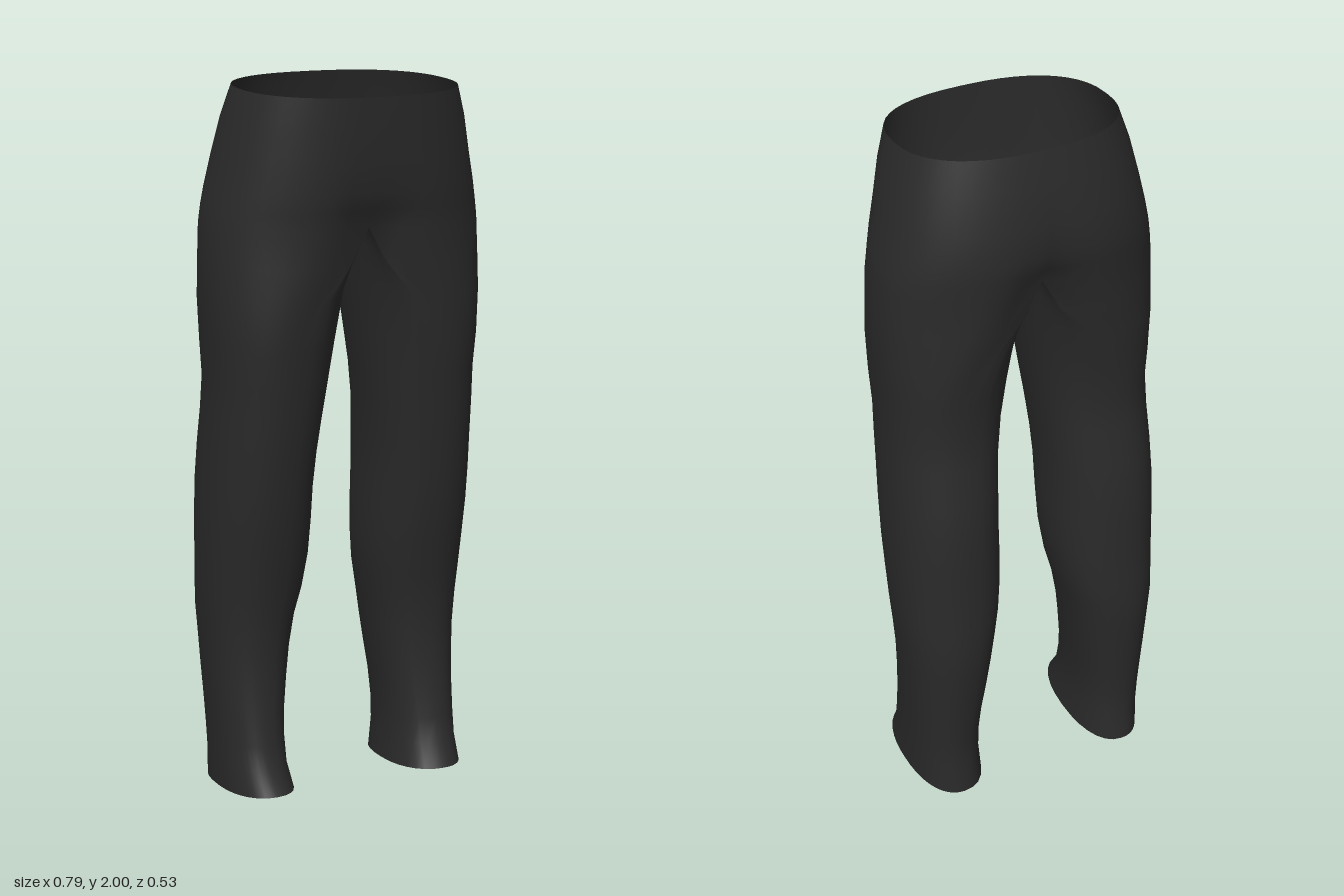
import * as THREE from 'three';
import { mergeGeometries, mergeVertices } from 'three/addons/utils/BufferGeometryUtils.js';

// Hip levels from the waist down: y, half width, front z, back z, centre crease
const HIPS = [
  [1.985, 0.305, 0.265, -0.2, 0],
  [1.9, 0.332, 0.26, -0.225, 0],
  [1.8, 0.354, 0.255, -0.25, 0.02],
  [1.72, 0.372, 0.25, -0.258, 0.06],
  [1.67, 0.382, 0.243, -0.257, 0.12],
  [1.62, 0.39, 0.237, -0.252, 0.22],
];

// Leg levels from the crotch down: y, inner x, outer x, front z, back z
const LEG = [
  [1.62, 0, 0.39, 0.237, -0.252],
  [1.52, 0.008, 0.394, 0.228, -0.243],
  [1.42, 0.024, 0.394, 0.217, -0.232],
  [1.3, 0.043, 0.387, 0.2, -0.215],
  [1.2, 0.06, 0.381, 0.185, -0.206],
  [1.1, 0.074, 0.383, 0.174, -0.216],
  [1.0, 0.084, 0.386, 0.16, -0.235],
  [0.9, 0.09, 0.389, 0.146, -0.246],
  [0.8, 0.09, 0.39, 0.13, -0.25],
  [0.7, 0.092, 0.388, 0.11, -0.252],
  [0.6, 0.102, 0.385, 0.09, -0.256],
  [0.52, 0.118, 0.38, 0.077, -0.261],
  [0.43, 0.13, 0.373, 0.07, -0.254],
  [0.34, 0.142, 0.368, 0.072, -0.245],
  [0.25, 0.155, 0.363, 0.082, -0.235],
  [0.17, 0.161, 0.36, 0.095, -0.227],
  [0.1, 0.161, 0.358, 0.112, -0.225],
  [0.02, 0.152, 0.358, 0.153, -0.235],
];

const OUTER = 22, INNER = 14;
const spow = (v, p) => Math.sign(v) * Math.pow(Math.abs(v), p);
const lerp = THREE.MathUtils.lerp;

// Point on one half of the hips; phi runs from front centre around to back centre
function hipPoint(phi, [y, w, front, back, crease]) {
  const p = 2 / 2.4;
  const x = w * spow(Math.max(0, Math.sin(phi)), p);
  const pinch = 1 - crease * Math.exp(-((x / 0.09) ** 2));
  const z = (front + back) / 2 + ((front - back) / 2) * spow(Math.cos(phi), p) * pinch;
  // the waist rises slightly towards the back
  const rim = THREE.MathUtils.smoothstep(y, 1.85, 1.985);
  return [x, y - 0.012 * Math.cos(phi) * rim, z];
}

// Point on a closed leg ring, blending from the D-shaped crotch to a rounded tube
function legPoint(phi, [y, xIn, xOut, front, back], side) {
  const p = 2 / 2.3, inside = phi > Math.PI;
  const inner = xIn + (side < 0 ? 0.012 * THREE.MathUtils.smoothstep(0.7 - y, 0, 0.3) : 0);
  const tube = [
    (inner + xOut) / 2 + ((xOut - inner) / 2) * spow(Math.sin(phi), p),
    (front + back) / 2 + ((front - back) / 2) * spow(Math.cos(phi), p),
  ];
  const crotch = hipPoint(phi, [y, xOut, front, back, 0.22]);
  const t = THREE.MathUtils.smoothstep(1.62 - y, 0, 0.3);
  const dx = inside ? inner : Math.max(inner * 0.8, crotch[0]);
  // the crotch seam sags between front and back
  const sag = inside ? -0.08 * Math.sin(phi - Math.PI) * -1 * Math.max(0, 1 - (1.62 - y) / 0.4) : 0;
  // the hem is a little higher at the front than underneath
  const hem = y < 0.05 ? 0.018 * Math.cos(phi) : 0;
  return [lerp(dx, tube[0], t), y + sag + hem, lerp(crotch[2], tube[1], t)];
}

// Skin a stack of point rows; side -1 mirrors it across x
function loft(rows, side) {
  const n = rows[0].length, index = [];
  const pos = rows.flat().flatMap(([x, y, z]) => [side * x, y, z]);
  for (let r = 0; r < rows.length - 1; r++) {
    for (let i = 0; i < n - 1; i++) {
      const a = r * n + i, b = a + 1, c = a + n, d = c + 1;
      if (side > 0) index.push(a, c, b, b, c, d);
      else index.push(a, b, c, b, d, c);
    }
  }
  const g = new THREE.BufferGeometry();
  g.setAttribute('position', new THREE.Float32BufferAttribute(pos, 3));
  g.setIndex(index);
  return g;
}

export function createModel() {
  const fabric = new THREE.MeshStandardMaterial({ color: 0x2a2a2a, side: THREE.DoubleSide });
  fabric.name = 'charcoal fabric';

  const half = Array.from({ length: OUTER + 1 }, (_, i) => (i / OUTER) * Math.PI);
  const around = half.concat(
    Array.from({ length: INNER }, (_, i) => Math.PI * (1 + (i + 1) / INNER)));

  const parts = [];
  for (const side of [1, -1]) {
    // half of the seat and waist
    parts.push(loft(HIPS.map((row) => half.map((phi) => hipPoint(phi, row))), side));
    // trouser leg, open at the hem
    parts.push(loft(LEG.map((row) => around.map((phi) => legPoint(phi, row, side))), side));
  }

  // weld the halves and legs into one smooth cloth surface
  const cloth = mergeVertices(mergeGeometries(parts), 1e-4);
  cloth.computeVertexNormals();
  const trousers = new THREE.Mesh(cloth, fabric);
  trousers.name = 'trousers';

  const model = new THREE.Group();
  model.name = 'pairOfTrousers';
  model.add(trousers);
  return model;
}
